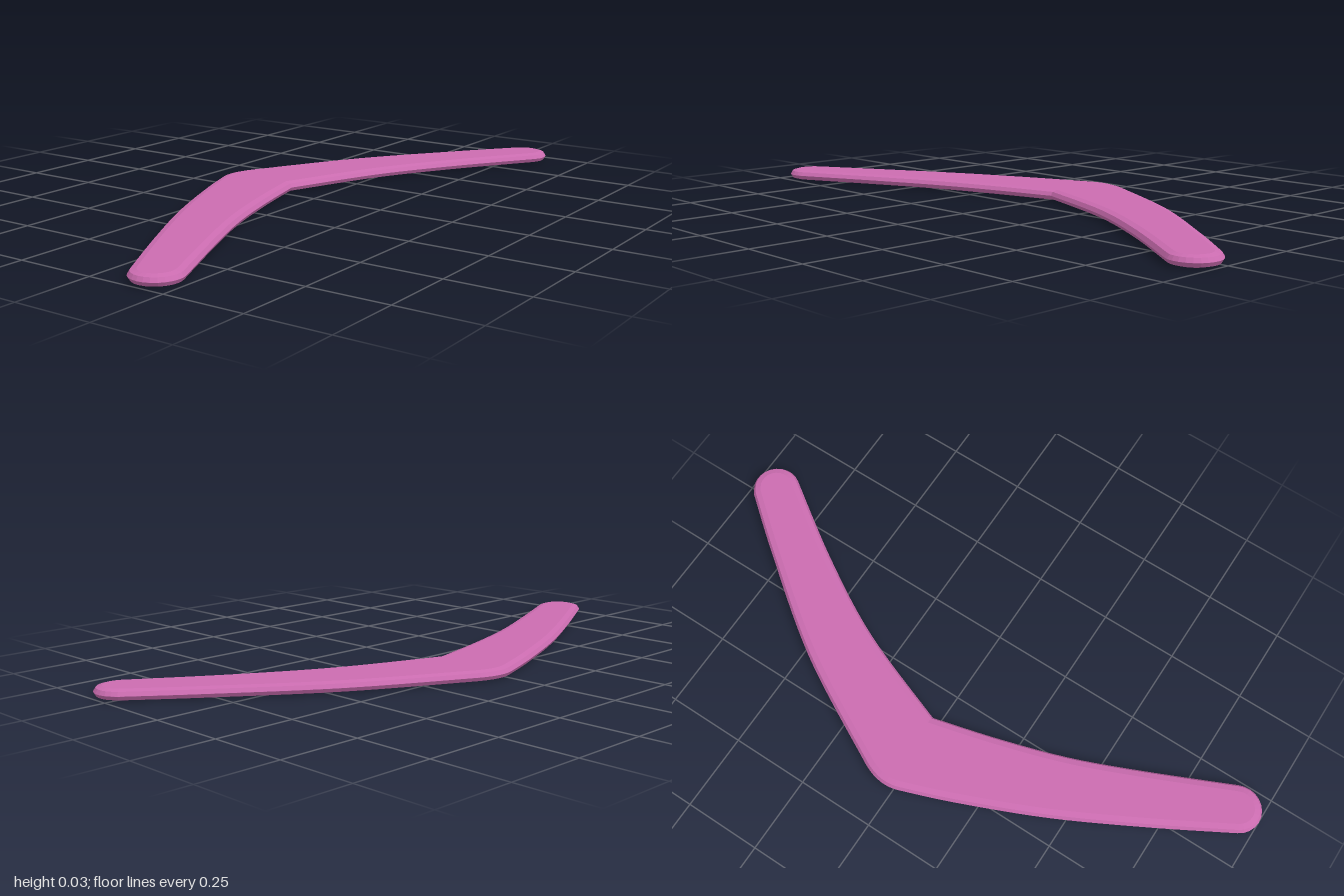
import * as THREE from 'three';

const THICKNESS = 0.034;
const BEVEL = 0.025;
const TIP_RADIUS = 0.077;

// Smooth edge through a few [x, z] points, as outline points (x, -z)
function edge(points, steps) {
  const curve = new THREE.SplineCurve(points.map(([x, z]) => new THREE.Vector2(x, -z)));
  return curve.getSpacedPoints(steps);
}

// Rounded arm tip, leaving out both ends, which belong to the edges
function tip(x, z, from, to, steps = 12) {
  const out = [];
  for (let i = 1; i < steps; i++) {
    const a = from + ((to - from) * i) / steps;
    out.push(new THREE.Vector2(x + TIP_RADIUS * Math.cos(a), -z + TIP_RADIUS * Math.sin(a)));
  }
  return out;
}

export function createModel() {
  const model = new THREE.Group();
  model.name = 'boomerang';

  const pink = new THREE.MeshStandardMaterial({ color: 0xcb6cb0 });
  pink.name = 'pink';

  // Rounded outer elbow
  const elbow = new THREE.QuadraticBezierCurve(
    new THREE.Vector2(-0.02, 0.36), new THREE.Vector2(0.04, 0.383), new THREE.Vector2(0.11, 0.35),
  ).getPoints(8).slice(1, -1);

  // Outline, clockwise from the outer side of the right arm's tip
  const outline = [
    ...edge([[-0.962, 0.097], [-0.72, -0.04], [-0.45, -0.182], [-0.185, -0.298], [-0.02, -0.36]], 20),
    ...elbow,
    ...edge([[0.11, -0.35], [0.47, -0.153], [0.78, 0.073], [0.973, 0.227]], 20),
    ...tip(0.922, 0.287, 0.88, -2.2),
    ...edge([[0.877, 0.349], [0.62, 0.175], [0.35, 0.022], [0.025, -0.105]], 20),
    ...edge([[0.025, -0.105], [-0.185, -0.05], [-0.4, 0.018], [-0.61, 0.105], [-0.889, 0.232]], 20).slice(1),
    ...tip(-0.923, 0.163, -1.11, -4.19),
  ];

  // Thin blade whose bevels meet in an edge at half height
  const geometry = new THREE.ExtrudeGeometry(new THREE.Shape(outline), {
    depth: 0.0004,
    bevelEnabled: true,
    bevelThickness: THICKNESS / 2 - 0.0002,
    bevelSize: BEVEL,
    bevelOffset: -BEVEL,
    bevelSegments: 2,
  });
  geometry.rotateX(-Math.PI / 2);
  geometry.translate(0, THICKNESS / 2 - 0.0002, 0);

  const blade = new THREE.Mesh(geometry, pink);
  blade.name = 'blade';
  model.add(blade);
  return model;
}
